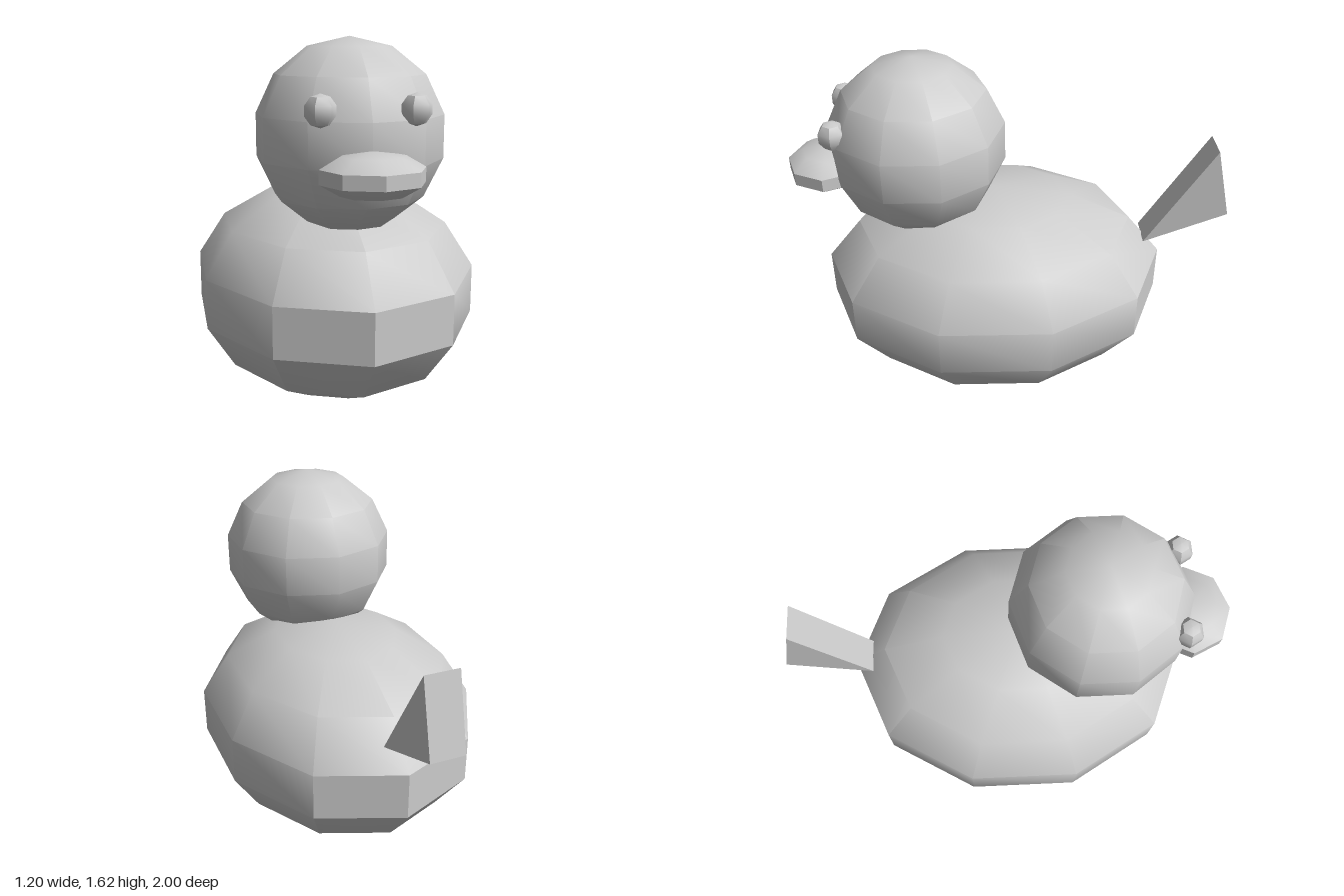
import * as THREE from 'three';
import { toCreasedNormals } from 'three/addons/utils/BufferGeometryUtils.js';

const CREASE = THREE.MathUtils.degToRad(36.3);

export function createModel() {
  const model = new THREE.Group();
  model.name = 'duck';
  const grey = new THREE.MeshStandardMaterial({ color: 0xcccccc });
  grey.name = 'light grey';

  function add(name, geometry, x, y, z) {
    const mesh = new THREE.Mesh(geometry, grey);
    mesh.name = name;
    mesh.position.set(x, y, z);
    model.add(mesh);
  }

  // Coarse ellipsoid, smooth except across sharp edges
  function ellipsoid(rx, ry, rz, sides, rings, turn = 0) {
    const g = new THREE.SphereGeometry(1, sides, rings);
    g.rotateY(turn);
    g.scale(rx, ry, rz);
    return toCreasedNormals(g, CREASE);
  }

  // Body and head have a corner line facing straight ahead
  add('body', ellipsoid(0.646, 0.487, 0.815, 10, 7, Math.PI / 2), 0, 0.487, 0.083);
  add('head', ellipsoid(0.4, 0.402, 0.4, 10, 7, Math.PI / 2), 0, 1.213, 0.42);

  // Flattened bill
  add('bill', ellipsoid(0.2155, 0.091, 0.19, 8, 5), 0, 1.109, 0.82);

  // Eyes, one on each side
  for (const [name, side] of [['leftEye', 1], ['rightEye', -1]]) {
    add(name, ellipsoid(0.064, 0.064, 0.064, 6, 5), side * 0.185, 1.345, 0.753);
  }

  // Tail: upright wedge, drawn in the z-y plane and extruded across x
  const wedge = new THREE.Shape([
    new THREE.Vector2(-0.62, 0.7),
    new THREE.Vector2(-0.92, 1.18),
    new THREE.Vector2(-1, 0.85),
  ]);
  const tail = new THREE.ExtrudeGeometry(wedge, { depth: 0.154, bevelEnabled: false });
  tail.rotateY(-Math.PI / 2);
  add('tail', tail, 0.077, 0, 0);

  return model;
}
